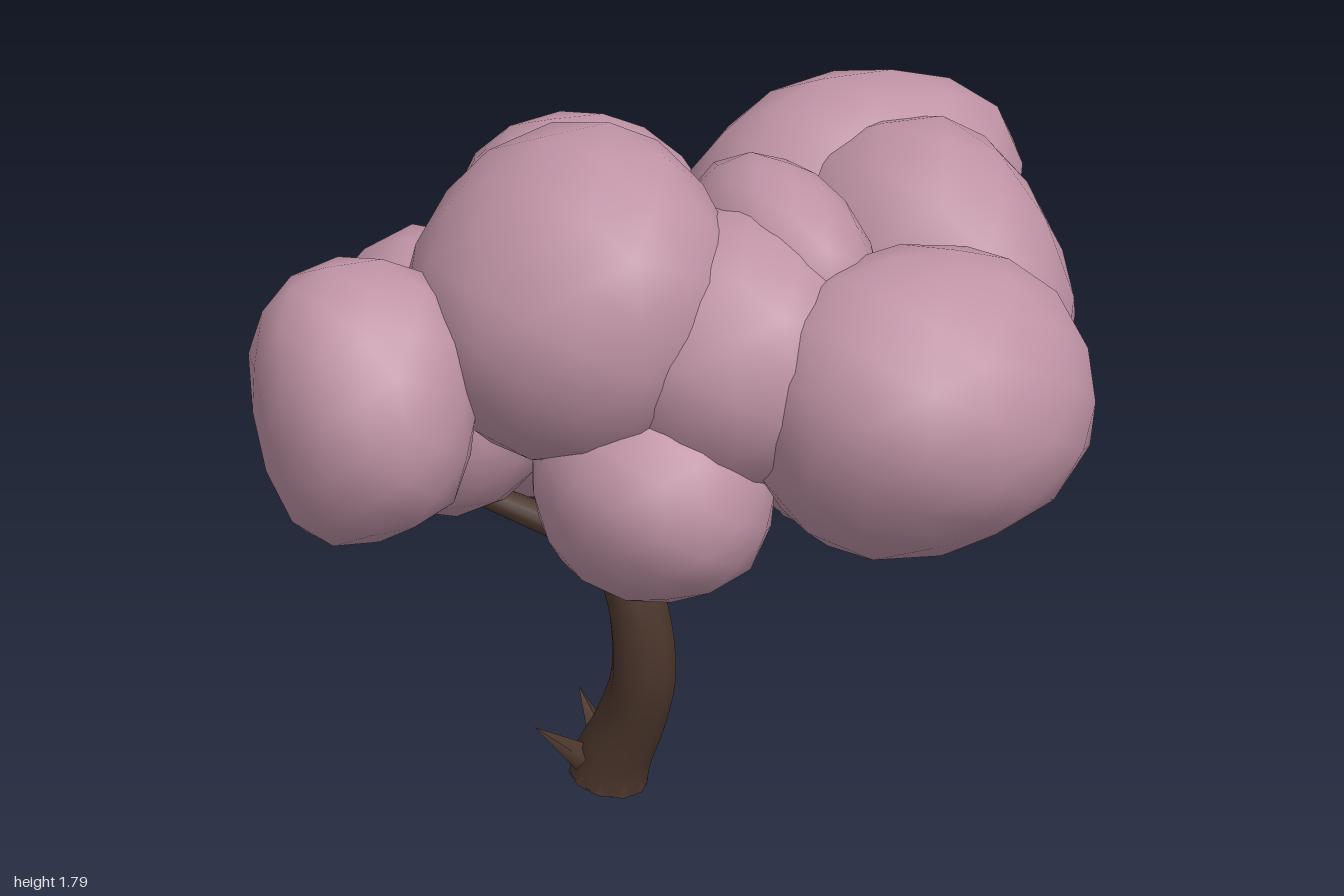
import * as THREE from 'three';
import { mergeVertices } from 'three/addons/utils/BufferGeometryUtils.js';

const V = (x, y, z) => new THREE.Vector3(x, y, z);

// Irregular rounded clump: a coarse smooth ball, gently bumpy, pulled out along given bulges [x, y, z, amount]
function clumpGeometry(seed, radii, bulges) {
  let g = new THREE.IcosahedronGeometry(1, 2);
  g.deleteAttribute('uv');
  g.deleteAttribute('normal');
  g = mergeVertices(g, 1e-3);
  const p = g.attributes.position;
  const pulls = bulges.map(([x, y, z, amount]) => ({ dir: V(x, y, z).normalize(), amount }));
  for (let i = 0; i < p.count; i++) {
    const n = V(0, 0, 0).fromBufferAttribute(p, i);
    const bump = 1.02 + 0.03 * Math.sin(3.1 * n.x + seed * 1.7) * Math.cos(2.7 * n.z + seed)
      + 0.025 * Math.sin(4.3 * n.y + 2.9 * n.x + seed * 2.3);
    const v = n.clone().multiplyScalar(bump).multiply(V(...radii));
    for (const { dir, amount } of pulls) {
      v.addScaledVector(dir, amount * Math.max(0, n.dot(dir)) ** 4);
    }
    p.setXYZ(i, v.x, v.y, v.z);
  }
  g.computeVertexNormals();
  return g;
}

// Tube along a curve whose radius follows a list of evenly spaced values
function taperedTube(points, radii, segments = 16, sides = 10) {
  const curve = new THREE.CatmullRomCurve3(points);
  const g = new THREE.TubeGeometry(curve, segments, 1, sides, false);
  const p = g.attributes.position;
  const v = V(0, 0, 0);
  for (let i = 0; i < p.count; i++) {
    const t = Math.floor(i / (sides + 1)) / segments;
    const f = t * (radii.length - 1);
    const k = Math.min(Math.floor(f), radii.length - 2);
    const r = THREE.MathUtils.lerp(radii[k], radii[k + 1], f - k);
    const c = curve.getPointAt(t);
    v.fromBufferAttribute(p, i).sub(c).multiplyScalar(r).add(c);
    p.setXYZ(i, v.x, v.y, v.z);
  }
  g.computeVertexNormals();
  return g;
}

export function createModel() {
  const tree = new THREE.Group();
  tree.name = 'tree';
  const bark = new THREE.MeshStandardMaterial({ color: 0x4a352b });
  bark.name = 'dark bark';
  const blossom = new THREE.MeshStandardMaterial({ color: 0xbf93a5 });
  blossom.name = 'dusty pink blossom';

  const add = (name, geometry, material) => {
    const mesh = new THREE.Mesh(geometry, material);
    mesh.name = name;
    tree.add(mesh);
    return mesh;
  };

  // Straight tapered limb between two points
  const limb = (name, a, b, r0, r1, sides) => {
    const dir = b.clone().sub(a);
    const mesh = add(name, new THREE.CylinderGeometry(r1, r0, dir.length(), sides), bark);
    mesh.position.copy(a).add(b).multiplyScalar(0.5);
    mesh.quaternion.setFromUnitVectors(V(0, 1, 0), dir.normalize());
  };

  // Curved trunk, with a closed top inside the fork
  add('trunk', taperedTube(
    [V(-0.083, 0.04, -0.115), V(-0.075, 0.09, -0.105), V(-0.045, 0.21, -0.06),
      V(-0.03, 0.35, -0.018), V(-0.04, 0.52, -0.03), V(-0.07, 0.66, -0.075)],
    [0.098, 0.086, 0.08, 0.077, 0.072, 0.068]), bark);
  limb('trunkTop', V(-0.066, 0.645, -0.07), V(-0.08, 0.71, -0.095), 0.068, 0.05, 10);

  // Flat underside and stubby root end
  limb('trunkFoot', V(-0.083, 0.035, -0.115), V(-0.078, 0.075, -0.108), 0.098, 0.088, 10);
  limb('rootEnd', V(-0.09, 0.003, -0.125), V(-0.085, 0.05, -0.117), 0.04, 0.065, 8);

  // Branches from the fork
  const fork = V(-0.055, 0.645, -0.055);
  limb('rightBranch', fork, V(-0.42, 0.8, -0.32), 0.045, 0.026, 8);
  limb('frontBranch', fork, V(0.03, 0.86, 0.41), 0.045, 0.026, 8);
  limb('leftBranch', fork, V(0.33, 0.92, -0.36), 0.045, 0.026, 8);

  // Pointed shoots at the base
  limb('rightShoot', V(-0.11, 0.07, -0.11), V(-0.27, 0.2, -0.12), 0.05, 0, 5);
  limb('leftShoot', V(-0.05, 0.08, -0.1), V(0.08, 0.2, -0.11), 0.05, 0, 5);
  limb('backShoot', V(-0.075, 0.07, -0.13), V(-0.09, 0.2, -0.285), 0.05, 0, 5);

  // Crown: name, centre, radii, bulges
  const clumps = [
    ['rightClump', [-0.76, 1.2, 0.145], [0.23, 0.29, 0.305], [[-0.7, 1, 0, 0.05], [0.7, 1, 0.2, 0.04], [-0.7, -0.8, 0.3, 0.03]]],
    ['tallClump', [-0.28, 1.4, 0.19], [0.35, 0.33, 0.385], [[0.25, 1, 0, 0.05], [-0.6, -1, 0.2, 0.04]]],
    ['backClump', [0.05, 1.235, -0.6], [0.32, 0.31, 0.32], [[0.8, 0.2, 0.5, 0.03]]],
    ['leftBackClump', [0.59, 1.34, -0.2], [0.4, 0.33, 0.33], [[1, 0.8, 0, 0.05], [-0.3, 1, 0, 0.02]]],
    ['leftClump', [0.62, 1.2, 0.01], [0.36, 0.41, 0.44], [[-0.4, -1, 0, 0.05], [0.3, 1, 0.2, 0.04], [0.5, 0, 1, 0.03]]],
    ['frontLeftClump', [0.37, 1.2, 0.58], [0.39, 0.34, 0.33], [[-0.4, 0, 1, 0.04], [0.1, -1, -0.1, 0.02]]],
    ['frontClump', [0.01, 1.28, 0.34], [0.31, 0.31, 0.31], [[0.4, 0.1, 1, 0.04]]],
    ['frontTopClump', [0.17, 1.41, 0.24], [0.2, 0.25, 0.32], []],
    ['lowFrontClump', [-0.17, 1.0, 0.36], [0.26, 0.26, 0.29], []],
    ['rightBackClump', [-0.48, 1.12, -0.17], [0.29, 0.32, 0.33], [[-0.4, 0, -1, 0.02]]],
    ['lowBackClump', [-0.1, 1.0, -0.36], [0.31, 0.3, 0.3], []],
    ['lowLeftClump', [0.36, 0.99, 0.2], [0.25, 0.23, 0.3], []],
  ];
  clumps.forEach(([name, centre, radii, bulges], i) => {
    add(name, clumpGeometry(i + 1, radii, bulges), blossom).position.set(...centre);
  });

  return tree;
}
